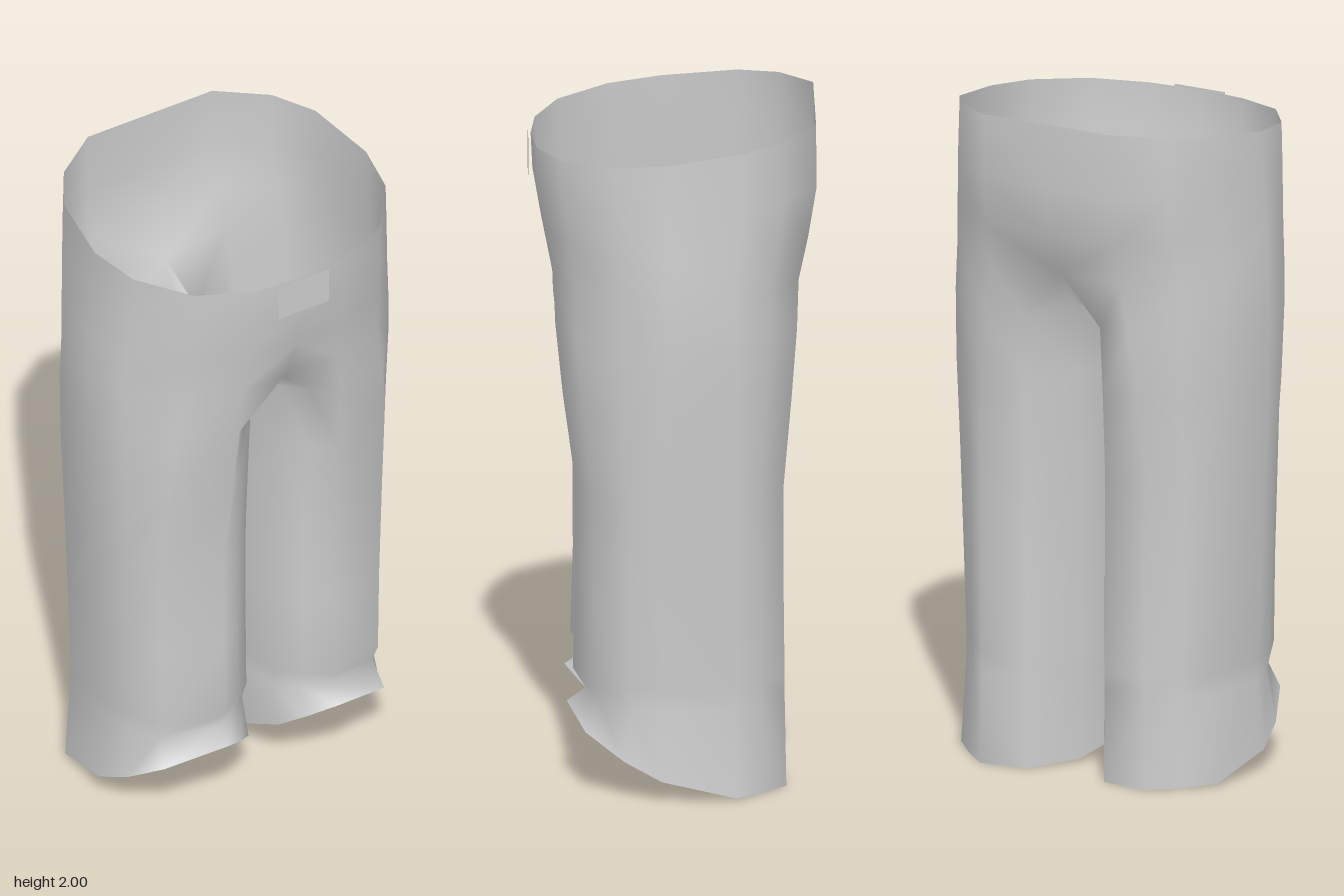
import * as THREE from 'three';
import { mergeVertices } from 'three/addons/utils/BufferGeometryUtils.js';

// Half outline of the hips, front centre round the side to back centre [x, z]
const HIP = [[0, 0.412], [0.16, 0.397], [0.322, 0.328], [0.437, 0.178], [0.47, 0.02],
  [0.436, -0.203], [0.36, -0.322], [0.215, -0.42], [0, -0.42]];

// Closed outline of one leg; the first nine points follow on from HIP [x, z]
const LEG = [[0.115, 0.213], [0.19, 0.255], [0.368, 0.213], [0.42, 0.12], [0.445, 0.03],
  [0.425, -0.18], [0.355, -0.255], [0.28, -0.325], [0.135, -0.31],
  [0.042, -0.165], [0.008, -0.01], [0.052, 0.165]];

const WAIST_HEIGHT = z => z > 0 ? 1.95 - z * 0.085 : 1.95 - z * 0.12;
const HEM_HEIGHT = z => 0.005 + 0.235 * Math.pow(Math.max(0, (z + 0.33) / 0.64), 2.3);
const heightAt = (y, z) => typeof y === 'function' ? y(z) : y;

// Hip row scaled to the given half width, front depth and back depth
function hipRow(y, width, front, back) {
  return HIP.map(([x, z]) => [x * width / 0.47, heightAt(y, z),
    z > 0 ? z * front / 0.412 : z * back / 0.42]);
}

// Top ring of the leg: hip outline closed by the crotch seam on x = 0
function crotchRow() {
  const row = hipRow(1.53, 0.495, 0.362, 0.367);
  row[0] = [0, 1.51, 0.32];
  row[8] = [0, 1.53, -0.335];
  row.push([0, 1.46, -0.18], [0, 1.44, -0.01], [0, 1.455, 0.19]);
  return row;
}

// Leg ring; only the outer half widens, so the inner seam stays straight.
// blend pulls the outer points towards the ring above for a soft transition
function legRow(y, outer, front, back, above = [], blend = 0) {
  return LEG.map(([x, z], i) => {
    let px = x > 0.23 ? 0.23 + (x - 0.23) * (outer - 0.23) / 0.215 : x;
    let pz = z > 0 ? z * front / 0.255 : z * back / 0.325;
    if (blend && i > 0 && i < 8) {
      px += (above[i][0] - px) * blend;
      pz += (above[i][2] - pz) * blend;
    }
    return [px, heightAt(y, pz), pz];
  });
}

function trouserGeometry() {
  const crotch = crotchRow();
  const hips = [
    hipRow(WAIST_HEIGHT, 0.47, 0.412, 0.418),
    hipRow(1.81, 0.475, 0.407, 0.42),
    hipRow(1.66, 0.485, 0.381, 0.395),
    crotch,
  ];
  const legs = [
    crotch,
    legRow(1.385, 0.49, 0.333, 0.352, crotch, 0.65),
    legRow(1.18, 0.482, 0.311, 0.336, crotch, 0.3),
    legRow(0.92, 0.472, 0.287, 0.322),
    legRow(0.6, 0.458, 0.285, 0.322),
    legRow(0.34, 0.446, 0.292, 0.325),
    legRow(0.28, 0.446, 0.255, 0.325),
    legRow(HEM_HEIGHT, 0.465, 0.31, 0.33),
  ];

  const positions = [];
  const quad = (a, b, c, d) => {
    for (const p of [a, b, c, a, c, d]) positions.push(...p);
    // Mirrored twin with reversed winding
    for (const [x, y, z] of [a, c, b, a, d, c]) positions.push(-x, y, z);
  };
  const skin = (rows, count) => {
    for (let r = 0; r < rows.length - 1; r++) {
      for (let i = 0; i < count; i++) {
        const j = (i + 1) % 12;
        quad(rows[r][i], rows[r + 1][i], rows[r + 1][j], rows[r][j]);
      }
    }
  };
  skin(hips, 8);
  skin(legs, 12);

  const geometry = new THREE.BufferGeometry();
  geometry.setAttribute('position', new THREE.Float32BufferAttribute(positions, 3));
  const welded = mergeVertices(geometry, 1e-4);
  welded.computeVertexNormals();
  return welded;
}

export function createModel() {
  const group = new THREE.Group();
  group.name = 'trousers';
  const cloth = new THREE.MeshStandardMaterial({ color: 0xcccccc, side: THREE.DoubleSide });

  // Hips and both legs as one open skin
  const body = new THREE.Mesh(trouserGeometry(), cloth);
  body.name = 'trouserBody';
  group.add(body);

  // Flat buckle just in front of the waistband
  const buckle = new THREE.Mesh(new THREE.PlaneGeometry(0.175, 0.115), cloth);
  buckle.name = 'buckle';
  buckle.position.set(0, 1.86, 0.42);
  group.add(buckle);

  return group;
}
